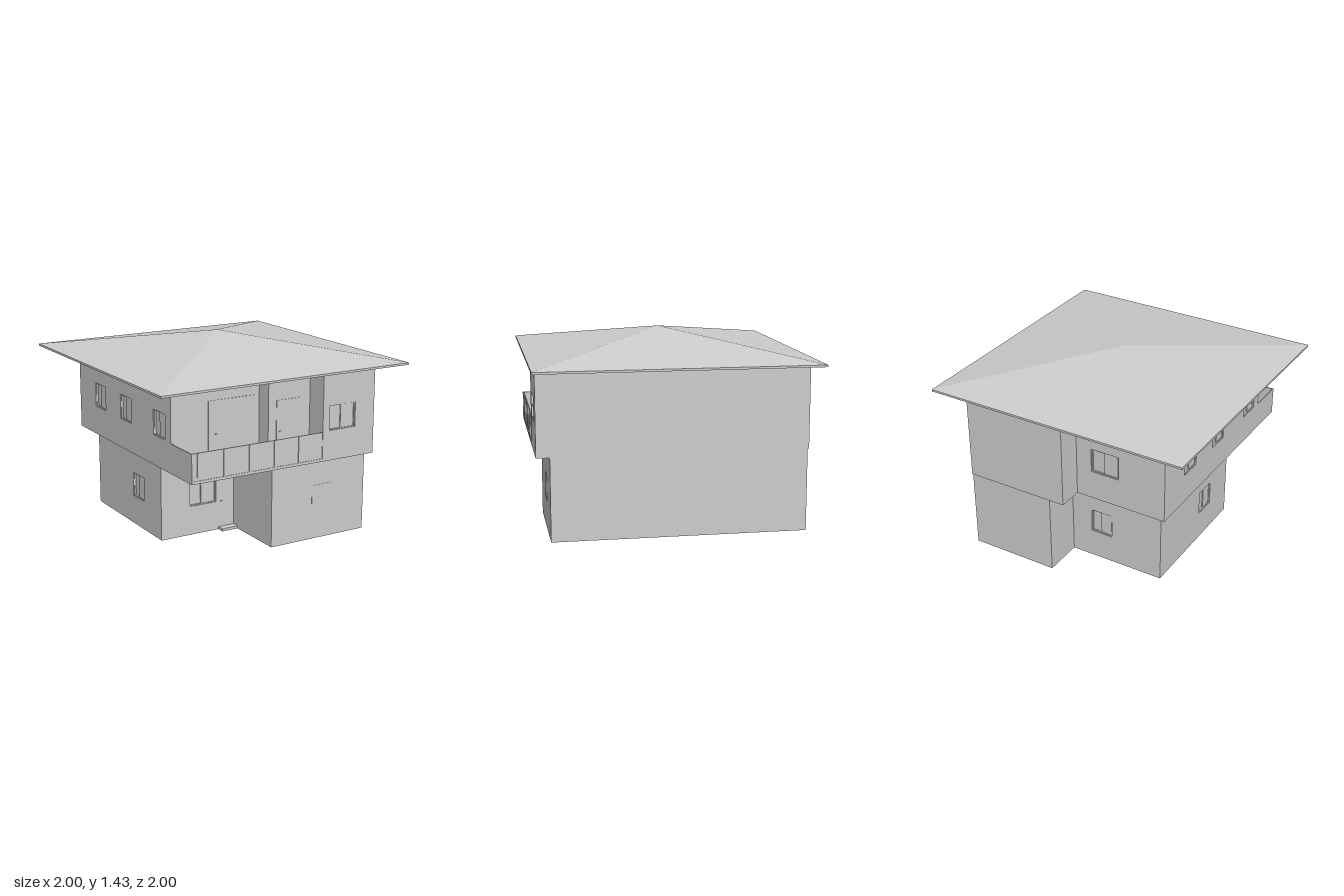
import * as THREE from 'three';

const T = 0.025; // wall thickness

export function createModel() {
  const house = new THREE.Group();
  house.name = 'house';
  const grey = new THREE.MeshStandardMaterial({ color: 0xcccccc, flatShading: true, side: THREE.DoubleSide });
  grey.name = 'plain grey';

  const add = (parent, name, geometry, x = 0, y = 0, z = 0) => {
    const mesh = new THREE.Mesh(geometry, grey);
    mesh.name = name;
    mesh.position.set(x, y, z);
    parent.add(mesh);
    return mesh;
  };
  const box = (parent, name, w, h, d, x, y, z) => add(parent, name, new THREE.BoxGeometry(w, h, d), x, y, z);

  // Horizontal slab from a plan of [x, z] points
  const slab = (name, plan, y, h) => {
    const shape = new THREE.Shape(plan.map(([x, z]) => new THREE.Vector2(x, -z)));
    const geometry = new THREE.ExtrudeGeometry(shape, { depth: h, bevelEnabled: false });
    geometry.rotateX(-Math.PI / 2);
    return add(house, name, geometry, 0, y, 0);
  };

  // Two sliding panes set inside an opening, the outer one overlapping the inner
  const sliding = (parent, u, y, w, h) => {
    const win = new THREE.Group();
    win.name = 'window';
    win.position.set(u, y, 0);
    parent.add(win);
    box(win, 'innerPane', w, h, 0.006, 0, 0, 0.003);
    box(win, 'outerPane', w * 0.5, h * 0.92, 0.008, w * 0.2, 0, 0.011);
    for (const s of [-1, 1]) {
      box(win, 'windowRail', w, 0.006, 0.018, 0, s * (h / 2 - 0.003), 0.009);
      box(win, 'windowJamb', 0.006, h, 0.018, s * (w / 2 - 0.003), 0, 0.009);
    }
  };

  // Walls around a plan; openings map a wall index to [centre, width] pairs
  const storey = (name, plan, y0, y1, winY, openings) => {
    const group = new THREE.Group();
    group.name = name;
    house.add(group);
    plan.forEach(([ax, az], i) => {
      const [bx, bz] = plan[(i + 1) % plan.length];
      const length = Math.hypot(bx - ax, bz - az);
      const wall = new THREE.Group();
      wall.name = 'wall';
      wall.position.set(ax, 0, az);
      wall.rotation.y = Math.atan2(az - bz, bx - ax);
      group.add(wall);
      const shape = new THREE.Shape();
      shape.moveTo(0, y0).lineTo(length, y0).lineTo(length, y1).lineTo(0, y1).closePath();
      const panes = new THREE.Group();
      panes.name = 'windows';
      panes.position.z = -T;
      wall.add(panes);
      for (const [centre, w] of openings[i] || []) {
        const u = Math.abs(centre - (ax === bx ? az : ax));
        const h = 0.18;
        const hole = new THREE.Path();
        hole.moveTo(u - w / 2, winY - h / 2).lineTo(u - w / 2, winY + h / 2);
        hole.lineTo(u + w / 2, winY + h / 2).lineTo(u + w / 2, winY - h / 2).closePath();
        shape.holes.push(hole);
        sliding(panes, u, winY, w, h);
      }
      add(wall, 'wallPanel', new THREE.ExtrudeGeometry(shape, { depth: T, bevelEnabled: false }), 0, 0, -T);
    });
  };

  // Ground storey
  const lower = [[-0.67, 0.36], [-0.07, 0.36], [-0.07, 0.87], [0.725, 0.87],
    [0.725, -0.955], [0.06, -0.955], [0.06, -0.66], [-0.67, -0.66]];
  slab('groundFloor', lower, 0.02, 0.02);
  storey('groundStorey', lower, 0.02, 0.63, 0.325,
    { 0: [[-0.33, 0.22]], 6: [[-0.185, 0.17]], 7: [[0.01, 0.17]] });
  box(house, 'doorStep', 0.13, 0.02, 0.06, -0.135, 0.03, 0.39);

  // Upper storey, set back behind the balcony
  const upper = [[-0.76, 0.68], [-0.06, 0.68], [-0.06, 0.8], [0.285, 0.8], [0.285, 0.965],
    [0.725, 0.965], [0.725, -0.965], [-0.06, -0.965], [-0.06, -0.78], [-0.76, -0.78]];
  const floor = [[-0.76, 0.965], ...upper.slice(5)];
  slab('upperFloor', floor, 0.62, 0.02);
  slab('ceiling', upper, 1.225, 0.015);
  storey('upperStorey', upper, 0.62, 1.24, 0.927,
    { 4: [[0.45, 0.22]], 8: [[-0.29, 0.22]], 9: [[-0.415, 0.17], [0.005, 0.17], [0.515, 0.17]] });

  // Doors onto the balcony and at ground level
  const door = (x, z, w, y, h) => {
    box(house, 'door', w, h, 0.006, x, y + h / 2, z + 0.001);
    box(house, 'doorHandle', 0.014, 0.006, 0.01, x - w * 0.35, y + h * 0.47, z + 0.006);
  };
  door(-0.28, 0.68, 0.38, 0.64, 0.45);
  door(0.1, 0.8, 0.19, 0.64, 0.42);
  door(-0.135, 0.36, 0.12, 0.04, 0.42);
  box(house, 'groundWindowPanel', 0.16, 0.18, 0.004, 0.35, 0.33, 0.87);

  // Balcony parapet with slim posts
  box(house, 'balconyFront', 1.045, 0.21, 0.008, -0.2375, 0.725, 0.957);
  box(house, 'balconySide', 0.008, 0.21, 0.285, -0.756, 0.725, 0.8225);
  for (let i = 0; i < 5; i++) box(house, 'balconyPost', 0.014, 0.19, 0.012, -0.71 + i * 0.2, 0.735, 0.961);

  // Shallow pyramid roof with a thin edge band
  const slope = new THREE.CylinderGeometry(0, Math.SQRT2, 0.175, 4, 1, true).rotateY(Math.PI / 4);
  add(house, 'roof', slope, 0, 1.3425, 0);
  const band = new THREE.CylinderGeometry(Math.SQRT2, Math.SQRT2, 0.015, 4, 1, true).rotateY(Math.PI / 4);
  add(house, 'roofEdge', band, 0, 1.2475, 0);

  // Drain pipes below the floor
  for (const z of [0.1, 0.245]) add(house, 'drainPipe', new THREE.CylinderGeometry(0.005, 0.005, 0.03, 10), 0.26, 0.015, z);

  return house;
}
